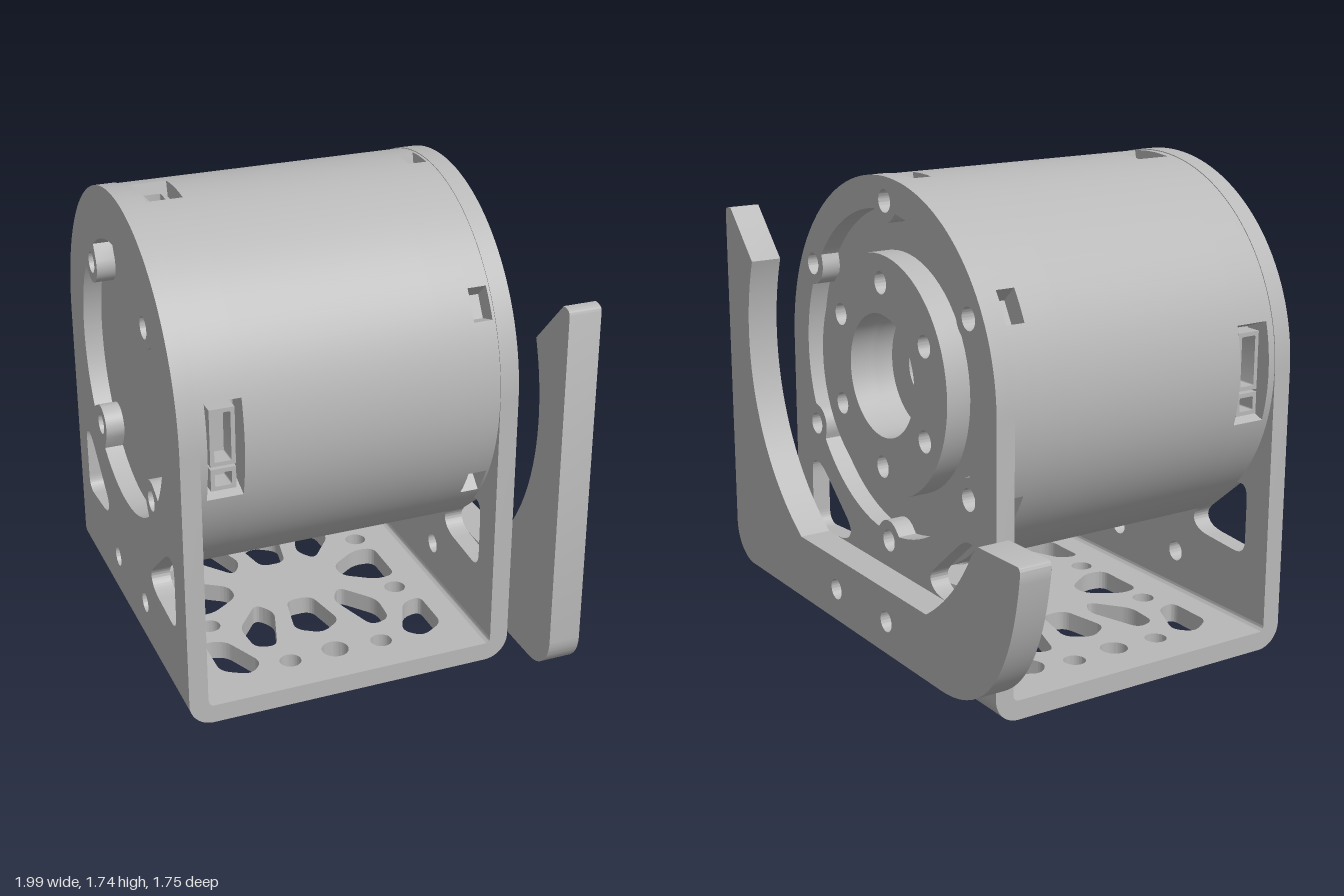
import * as THREE from 'three';
import { toCreasedNormals } from 'three/addons/utils/BufferGeometryUtils.js';

const R = 0.694, CY = 1.05, T = 0.07;      // body radius, axis height, sheet thickness
const FRONT = 0.752, BACK = -0.485;        // outer faces of the bracket
const BEND = 0.09;

const V = (x, y) => new THREE.Vector2(x, y);

// Outline given as a radius for each angle around a centre
function polar(fn, cy = CY, n = 360) {
  const pts = [];
  for (let i = 0; i < n; i++) {
    const a = (i / n) * Math.PI * 2, r = fn(a);
    pts.push(V(Math.cos(a) * r, cy + Math.sin(a) * r));
  }
  return pts;
}

function circle(x, y, r) {
  const p = new THREE.Path();
  p.absarc(x, y, r, 0, Math.PI * 2, true);
  return p;
}

// Polygon with rounded corners
function rounded(pts, r) {
  const p = new THREE.Path();
  pts.forEach(([x, y], i) => {
    const a = pts[(i + pts.length - 1) % pts.length], b = pts[(i + 1) % pts.length];
    const c = V(x, y);
    const toward = q => {
      const d = V(q[0] - x, q[1] - y), l = d.length();
      return c.clone().add(d.multiplyScalar(Math.min(r, l * 0.45) / l));
    };
    const s = toward(a), e = toward(b);
    if (i === 0) p.moveTo(s.x, s.y); else p.lineTo(s.x, s.y);
    p.quadraticCurveTo(x, y, e.x, e.y);
  });
  p.closePath();
  return p;
}

const flipX = pts => pts.map(([x, y]) => [-x, y]);
const flipY = pts => pts.map(([x, y]) => [x, -y]);
const angleGap = (a, b) => Math.atan2(Math.sin(a - b), Math.cos(a - b));

// Round opening with screw lobes reaching inward
function lobedOpening(r, angles, d, lobe) {
  return new THREE.Path(polar(a => {
    let out = r;
    for (const b of angles) {
      const g = angleGap(a, b), k = lobe * lobe - (d * Math.sin(g)) ** 2;
      if (Math.abs(g) < 1 && k > 0) out = Math.min(out, d * Math.cos(g) - Math.sqrt(k));
    }
    return out;
  }));
}

// Round slice with flat-bottomed notches: [angle, half width, depth]
function notched(notches) {
  return new THREE.Shape(polar(a => {
    for (const [b, w, depth] of notches) {
      const g = angleGap(a, b);
      if (Math.abs(g) < 1 && Math.abs(R * Math.sin(g)) < w) return (R - depth) / Math.cos(g);
    }
    return R - 0.003;
  }));
}

export function createModel() {
  const root = new THREE.Group();
  root.name = 'motorBracketAssembly';
  root.rotation.y = -Math.PI / 12;
  const body = new THREE.Group();
  body.name = 'motorWithBrackets';
  body.position.x = -0.14;
  root.add(body);

  const grey = new THREE.MeshStandardMaterial({ color: 0xb8b8b8 });
  grey.name = 'grey metal';

  function add(name, geo) {
    const m = new THREE.Mesh(geo, grey);
    m.name = name;
    body.add(m);
    return m;
  }
  const extrude = (shape, depth) => toCreasedNormals(
    new THREE.ExtrudeGeometry(shape, { depth, bevelEnabled: false, curveSegments: 32 }), 0.5);
  const slab = (name, shape, z0, z1) => add(name, extrude(shape, z1 - z0).translate(0, 0, z0));

  const quad = [1, 3, 5, 7].map(k => k * Math.PI / 4);
  const six = [0, 1, 2, 3, 4, 5].map(k => Math.PI / 2 + k * Math.PI / 3);
  const ringHoles = (angles, d, r) => angles.map(a => circle(Math.cos(a) * d, CY + Math.sin(a) * d, r));

  // Bracket walls: arched sheets with opening, corner windows and screw holes
  function wall() {
    const s = new THREE.Shape();
    s.moveTo(-R, BEND);
    s.lineTo(R, BEND);
    s.lineTo(R, CY);
    s.absarc(0, CY, R, 0, Math.PI, false);
    s.closePath();
    const tri = [[-0.575, 0.595], [-0.5, 0.595], [-0.27, 0.4], [-0.31, 0.345], [-0.575, 0.325]];
    s.holes.push(rounded(tri, 0.06), rounded(flipX(tri), 0.06), circle(-0.18, 0.22, 0.038), circle(0.18, 0.22, 0.038));
    return s;
  }
  const front = wall();
  front.holes.push(lobedOpening(0.505, quad, 0.465, 0.075), ...ringHoles(quad, 0.465, 0.04));
  slab('bracketFrontWall', front, FRONT - T, FRONT);
  const back = wall();
  back.holes.push(lobedOpening(0.58, six, 0.61, 0.075), ...ringHoles(six, 0.61, 0.04));
  slab('bracketBackWall', back, BACK, BACK + T);

  // Rounded bends between floor and walls
  for (const [name, z, a] of [['frontBend', FRONT - BEND, -Math.PI / 2], ['backBend', BACK + BEND, Math.PI]]) {
    const s = new THREE.Shape();
    s.absarc(z, BEND, BEND, a, a + Math.PI / 2, false);
    s.absarc(z, BEND, BEND - T, a + Math.PI / 2, a, true);
    s.closePath();
    add(name, extrude(s, 2 * R).rotateY(-Math.PI / 2).translate(R, 0, 0));
  }

  // Bracket floor with a mirrored pattern of lightening cutouts
  const z0 = BACK + BEND, z1 = FRONT - BEND, zc = (z0 + z1) / 2, hz = (z1 - z0) / 2;
  const floor = new THREE.Shape([V(-R, -hz), V(R, -hz), V(R, hz), V(-R, hz)]);
  const endCut = [[-0.11, 0.42], [0.11, 0.42], [0.12, 0.34], [0.04, 0.22], [-0.04, 0.22], [-0.12, 0.34]];
  const sideCut = [[0.14, -0.05], [0.34, -0.09], [0.4, 0], [0.34, 0.09], [0.14, 0.05]];
  const slot = [[0.12, 0.17], [0.2, 0.12], [0.42, 0.19], [0.4, 0.27], [0.26, 0.28]];
  const corner = [[0.3, 0.44], [0.32, 0.36], [0.5, 0.28], [0.56, 0.34], [0.5, 0.44]];
  for (const p of [endCut, flipY(endCut), sideCut, flipX(sideCut)]) floor.holes.push(rounded(p, 0.04));
  for (const p of [slot, corner])
    for (const q of [p, flipX(p), flipY(p), flipX(flipY(p))]) floor.holes.push(rounded(q, 0.04));
  for (const sx of [-1, 1]) {
    floor.holes.push(circle(sx * 0.52, 0, 0.05));
    for (const sz of [-1, 1]) floor.holes.push(circle(sx * 0.2, sz * 0.38, 0.04), circle(sx * 0.53, sz * 0.18, 0.04));
  }
  add('bracketFloor', extrude(floor, T).rotateX(Math.PI / 2).translate(0, T, zc));

  // Motor housing, stacked from plain and notched slices
  const disc = (hole) => {
    const s = notched([]);
    if (hole) s.holes.push(circle(0, CY, hole));
    return s;
  };
  const vents = notched(six.map(a => [a, 0.05, 0.08]));
  vents.holes.push(circle(0, CY, 0.22));
  slab('motorBackRim', disc(0.22), BACK + T, -0.405);
  slab('motorVentBand', vents, -0.405, -0.335);
  slab('motorBoreStep', disc(0.1), -0.335, -0.2);
  slab('motorBody', disc(), -0.2, 0.525);
  slab('motorPortBand', notched([[0, 0.17, 0.12], [Math.PI, 0.17, 0.12], [Math.PI / 2, 0.095, 0.1]]), 0.525, 0.655);
  slab('motorFrontCap', disc(), 0.655, FRONT - T);

  // Connector sockets inside the ports
  function socket(name, angle, offset, w) {
    const g = new THREE.Shape([V(-w, -0.045), V(w, -0.045), V(w, 0.045), V(-w, 0.045)]);
    g.holes.push(rounded([[-w + 0.015, -0.03], [w - 0.015, -0.03], [w - 0.015, 0.03], [-w + 0.015, 0.03]], 0.005));
    const m = add(name, extrude(g, 0.08).rotateX(-Math.PI / 2).translate(offset, R - 0.12, 0));
    m.position.set(0, CY, 0.59);
    m.rotation.z = angle;
  }
  socket('topSocket', 0, 0, 0.07);
  for (const s of [-1, 1]) {
    socket('sideSocketLarge', s * Math.PI / 2, s * 0.04, 0.105);
    socket('sideSocketSmall', s * Math.PI / 2, -s * 0.115, 0.04);
  }

  // Socket screws in the front wall
  for (const a of quad) {
    const s = new THREE.Shape();
    s.absarc(0, 0, 0.038, 0, Math.PI * 2, false);
    s.holes.push(circle(0, 0, 0.019));
    add('frontScrew', extrude(s, 0.04).translate(Math.cos(a) * 0.465, CY + Math.sin(a) * 0.465, FRONT - T));
  }

  // Output hub with bolt circle
  const hub = new THREE.Shape();
  hub.absarc(0, CY, 0.43, 0, Math.PI * 2, false);
  hub.holes.push(circle(0, CY, 0.22), ...ringHoles(six, 0.33, 0.04));
  slab('outputHub', hub, -0.505, BACK + T);

  // Swing arm: one tall and one short horn joined by a lower bar
  const A = 0.84, at = (x, y) => Math.atan2(y - CY, x);
  const arm = new THREE.Shape();
  arm.moveTo(-0.54, 0.1);
  arm.lineTo(0.86, 0.1);
  arm.absarc(0.867, 0.24, 0.14, -Math.PI / 2, 0, false);
  arm.lineTo(1.007, 1.49);
  arm.quadraticCurveTo(1.007, 1.51, 0.965, 1.51);
  arm.lineTo(0.793, 1.33);
  arm.absarc(0, CY, A, at(0.793, 1.33), at(0.45, 0.34), true);
  arm.lineTo(-0.45, 0.34);
  arm.absarc(0, CY, A, at(-0.45, 0.34), at(-0.735, 0.645), true);
  arm.lineTo(-0.77, 0.68);
  arm.lineTo(-0.99, 0.685);
  arm.quadraticCurveTo(-1.007, 0.685, -1.007, 0.66);
  arm.quadraticCurveTo(-0.94, 0.1, -0.54, 0.1);
  arm.holes.push(circle(-0.18, 0.22, 0.038), circle(0.18, 0.22, 0.038));
  slab('swingArm', arm, -0.605, BACK - 0.002);

  return root;
}
